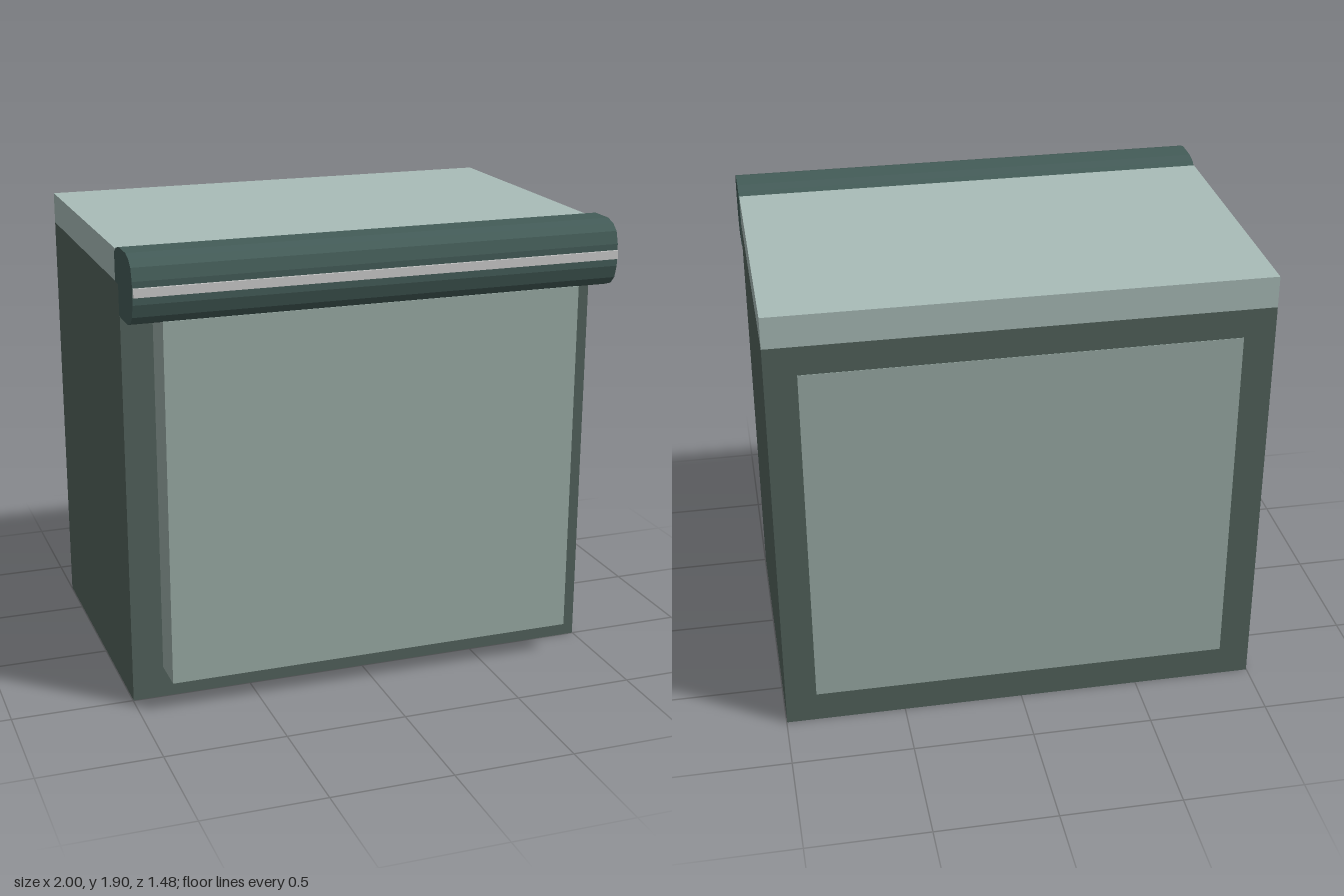
import * as THREE from 'three';

const paint = (color) => new THREE.MeshStandardMaterial({ color });

export function createModel() {
  const group = new THREE.Group();
  const add = (name, geometry, material) => {
    const mesh = new THREE.Mesh(geometry, material);
    mesh.name = name;
    group.add(mesh);
  };
  // box given by its limits on each axis, symmetric in x
  const slab = (halfX, y0, y1, z0, z1) =>
    new THREE.BoxGeometry(halfX * 2, y1 - y0, z1 - z0).translate(0, (y0 + y1) / 2, (z0 + z1) / 2);

  // cabinet and its pale top
  add('cabinet', slab(0.998, 0, 1.75, -0.738, 0.5), paint(0x52625c));
  add('top', slab(0.998, 1.75, 1.88, -0.738, 0.45), paint(0xa9bcb8));

  // inset panel that stands proud at the front and shows flush at the back
  add('panel', slab(0.87, 0.13, 1.63, -0.74, 0.66), paint(0x9aaca6));

  // rounded front roll: profile in (z, y), notched over the cabinet edge
  const profile = [
    [0.5, 1.63], [0.52, 1.625], [0.64, 1.625], [0.685, 1.64], [0.715, 1.67], [0.73, 1.72],
    [0.73, 1.81], [0.715, 1.86], [0.685, 1.885], [0.64, 1.9], [0.53, 1.9],
    [0.48, 1.888], [0.45, 1.865], [0.45, 1.75], [0.5, 1.75],
  ].map(([z, y]) => new THREE.Vector2(z, y));
  const roll = new THREE.ExtrudeGeometry(new THREE.Shape(profile), { depth: 2, bevelEnabled: false });
  roll.rotateY(-Math.PI / 2).translate(1, 0, 0);
  add('frontRoll', roll, paint(0x445c58));

  // thin light strip along the roll
  add('trimStrip', slab(0.998, 1.75, 1.785, 0.72, 0.74), paint(0xd8dcd8));

  return group;
}
